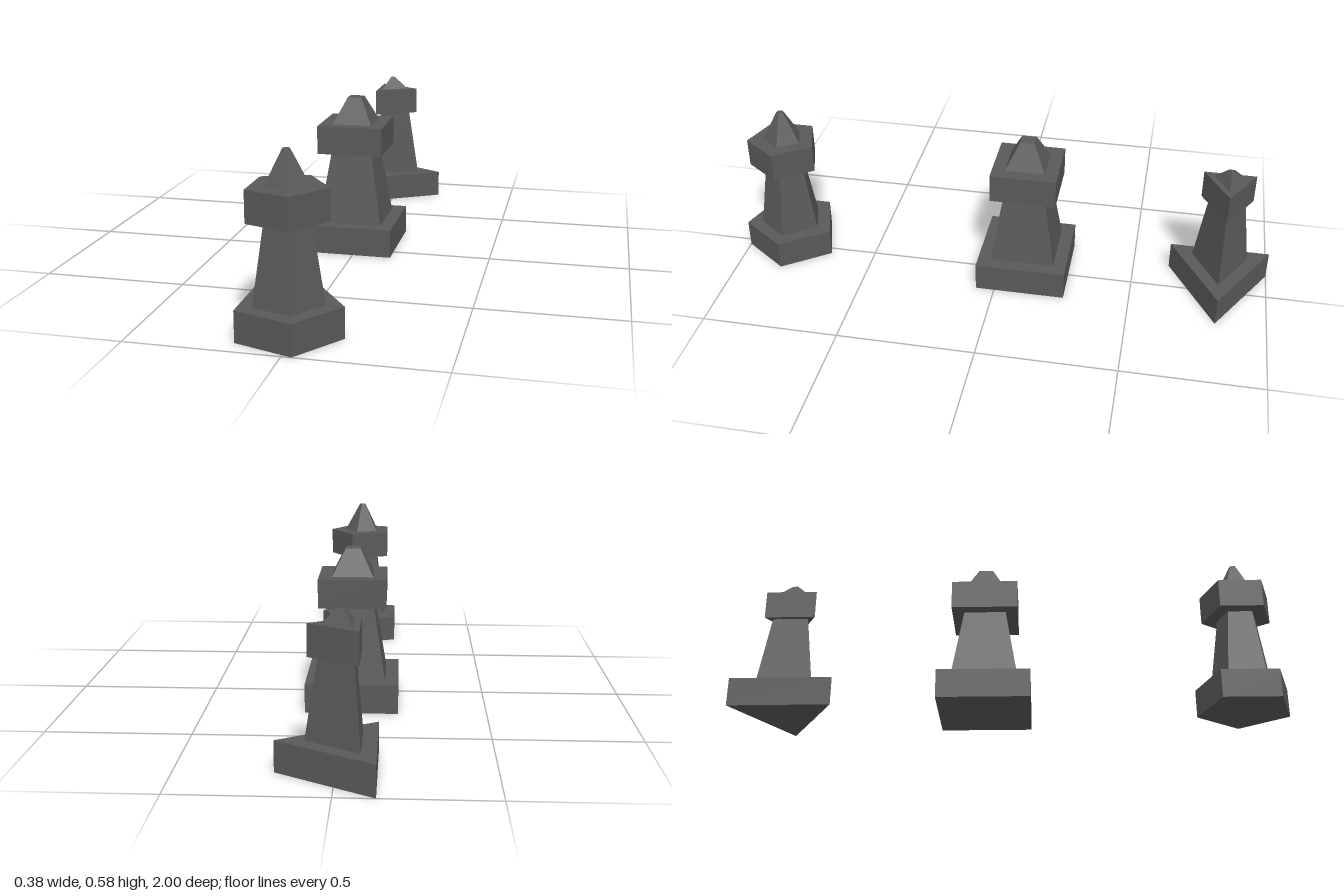
import * as THREE from 'three';

const material = new THREE.MeshStandardMaterial({ color: 0x595959, flatShading: true });

// Heights shared by every tower
const BASE_TOP = 0.104, COLLAR_BOTTOM = 0.368, COLLAR_TOP = 0.472;

// Upright prism or truncated pyramid with one corner (or side, if turned) facing +x
function prism(name, sides, rBottom, rTop, y0, y1, turn) {
  const geometry = new THREE.CylinderGeometry(rTop, rBottom, y1 - y0, sides, 1, false, Math.PI / 2 + turn);
  const mesh = new THREE.Mesh(geometry, material);
  mesh.name = name;
  mesh.position.y = (y0 + y1) / 2;
  return mesh;
}

// Stepped base, tapering shaft, wide collar and blunt pointed roof
function tower({ name, sides, z, turn = 0, base, shaft, collar, roof, height }) {
  const group = new THREE.Group();
  group.name = name;
  group.position.set(-0.023, 0, z);
  group.add(
    prism('base', sides, base, base, 0, BASE_TOP, turn),
    prism('shaft', sides, shaft[0], shaft[1], BASE_TOP, COLLAR_BOTTOM, turn),
    prism('collar', sides, collar, collar, COLLAR_BOTTOM, COLLAR_TOP, turn),
    prism('roof', sides, roof[0], roof[1], COLLAR_TOP, height, turn)
  );
  return group;
}

export function createModel() {
  const model = new THREE.Group();
  model.name = 'towers';
  const towers = [
    { name: 'pentagonalTower', sides: 5, z: 0.833, base: 0.175, shaft: [0.117, 0.075],
      collar: 0.133, roof: [0.074, 0.013], height: 0.584 },
    { name: 'squareTower', sides: 4, z: -0.096, turn: Math.PI / 4, base: 0.233, shaft: [0.166, 0.107],
      collar: 0.169, roof: [0.102, 0.037], height: 0.566 },
    { name: 'triangularTower', sides: 3, z: -0.817, base: 0.211, shaft: [0.117, 0.075],
      collar: 0.107, roof: [0.066, 0.011], height: 0.52 },
  ];
  for (const spec of towers) model.add(tower(spec));
  return model;
}
